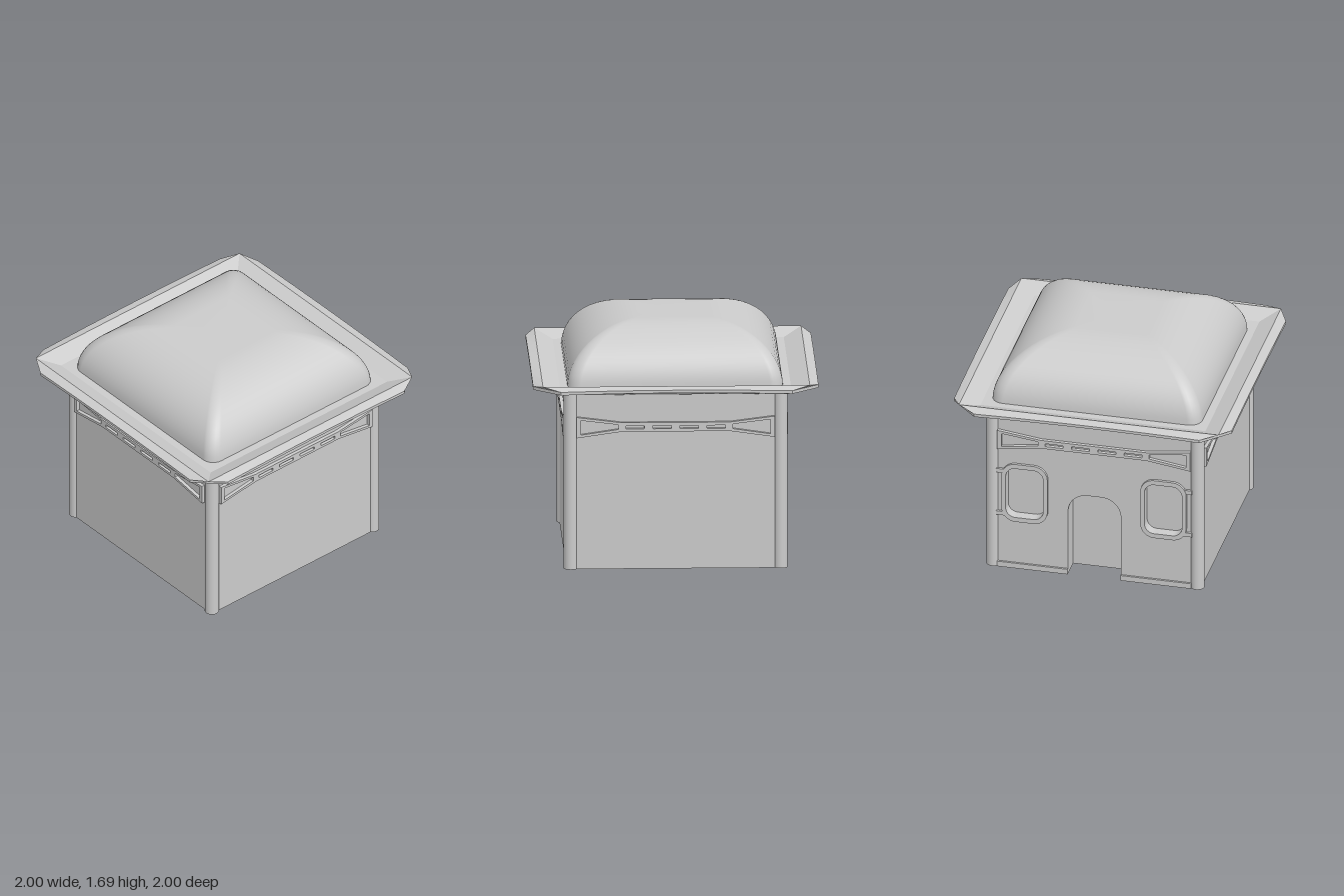
import * as THREE from 'three';
import { mergeVertices } from 'three/addons/utils/BufferGeometryUtils.js';

const smooth = new THREE.MeshStandardMaterial({ color: 0xcccccc });
const flat = new THREE.MeshStandardMaterial({ color: 0xcccccc, flatShading: true });

const WALL = 0.765; // distance of the wall faces from the centre

function add(parent, name, geometry, x = 0, y = 0, z = 0, material = flat) {
  const mesh = new THREE.Mesh(geometry, material);
  mesh.name = name;
  mesh.position.set(x, y, z);
  parent.add(mesh);
  return mesh;
}

// Skin a stack of closed loops that run counter-clockwise seen from above
function loft(rings) {
  const n = rings[0].length;
  const index = [];
  for (let r = 0; r < rings.length - 1; r++) {
    for (let j = 0; j < n; j++) {
      const k = (j + 1) % n;
      const a = r * n + j, b = r * n + k, c = b + n, d = a + n;
      index.push(a, b, c, a, c, d);
    }
  }
  const g = new THREE.BufferGeometry().setFromPoints(rings.flat());
  g.setIndex(index);
  g.computeVertexNormals();
  return g;
}

const turned = (x, y, z, side) =>
  new THREE.Vector3(x, y, z).applyAxisAngle(new THREE.Vector3(0, 1, 0), side * Math.PI / 2);

// Four-sided loop: half depth h, half edge length e, bowed up by arch at mid-edge
function eaveRing(h, y, e = h, arch = 0) {
  const pts = [];
  for (let side = 0; side < 4; side++) {
    for (let i = 0; i <= 8; i++) {
      const u = i / 4 - 1;
      pts.push(turned(u * e, y + arch * (1 - u * u), h, side));
    }
  }
  return pts;
}

// Square loop with rounded corners
function domeRing(h, y, r) {
  const pts = [];
  for (let side = 0; side < 4; side++) {
    for (let i = 0; i <= 6; i++) {
      const a = (i / 6) * Math.PI / 2;
      pts.push(turned(h - r + r * Math.sin(a), y, h - r + r * Math.cos(a), side));
    }
  }
  return pts;
}

function polygon(points, Type = THREE.Shape) {
  return new Type(points.map(([x, y]) => new THREE.Vector2(x, y)));
}

function roundedRect(cx, cy, w, h, r, Type = THREE.Shape) {
  const s = new Type();
  const x0 = cx - w / 2, x1 = cx + w / 2, y0 = cy - h / 2, y1 = cy + h / 2;
  s.moveTo(x0 + r, y0);
  s.lineTo(x1 - r, y0).absarc(x1 - r, y0 + r, r, -Math.PI / 2, 0);
  s.lineTo(x1, y1 - r).absarc(x1 - r, y1 - r, r, 0, Math.PI / 2);
  s.lineTo(x0 + r, y1).absarc(x0 + r, y1 - r, r, Math.PI / 2, Math.PI);
  s.lineTo(x0, y0 + r).absarc(x0 + r, y0 + r, r, Math.PI, Math.PI * 1.5);
  return s;
}

const extrude = (shape, depth) =>
  new THREE.ExtrudeGeometry(shape, { depth, bevelEnabled: false, curveSegments: 8 });

// Flared lattice band with end panels and four slots
function beltGeometry() {
  const belt = polygon([[-0.695, 0.945], [-0.38, 0.99], [0.38, 0.99], [0.695, 0.945],
    [0.695, 1.095], [0.38, 1.055], [-0.38, 1.055], [-0.695, 1.095]]);
  for (const s of [-1, 1]) {
    belt.holes.push(polygon([[s * 0.665, 0.968], [s * 0.4, 1.007], [s * 0.4, 1.04], [s * 0.665, 1.072]], THREE.Path));
    for (const x of [0.095, 0.285]) {
      belt.holes.push(roundedRect(s * x, 1.021, 0.13, 0.022, 0.004, THREE.Path));
    }
  }
  return extrude(belt, 0.025);
}

// Entrance wall, modelled facing +z
function entrance() {
  const g = new THREE.Group();
  g.name = 'entranceWall';
  const depth = 0.15;

  // Wall with an arched doorway and two rounded windows
  const wall = new THREE.Shape();
  wall.moveTo(-WALL, 0);
  wall.lineTo(-0.19, 0).lineTo(-0.19, 0.5);
  wall.absarc(-0.05, 0.5, 0.14, Math.PI, Math.PI / 2, true);
  wall.lineTo(0.05, 0.64).absarc(0.05, 0.5, 0.14, Math.PI / 2, 0, true);
  wall.lineTo(0.19, 0).lineTo(WALL, 0).lineTo(WALL, 1.28).lineTo(-WALL, 1.28);
  for (const s of [-1, 1]) wall.holes.push(roundedRect(s * 0.5, 0.605, 0.27, 0.39, 0.07, THREE.Path));
  add(g, 'piercedWall', extrude(wall, depth), 0, 0, WALL - depth);

  for (const s of [-1, 1]) {
    add(g, 'windowPane', new THREE.BoxGeometry(0.29, 0.41, 0.08), s * 0.5, 0.605, WALL - 0.1);
    const frame = roundedRect(s * 0.5, 0.605, 0.33, 0.46, 0.1);
    frame.holes.push(roundedRect(s * 0.5, 0.605, 0.27, 0.39, 0.07, THREE.Path));
    add(g, 'windowFrame', extrude(frame, 0.02), 0, 0, WALL);
    // Bars tying the frame to the corner column
    for (const y of [0.43, 0.77]) {
      add(g, 'windowBar', new THREE.BoxGeometry(0.06, 0.03, 0.018), s * 0.675, y, WALL + 0.009);
    }
    add(g, 'plinth', new THREE.BoxGeometry(0.51, 0.04, 0.015), s * 0.445, 0.02, WALL + 0.0075);
  }
  return g;
}

export function createModel() {
  const model = new THREE.Group();
  model.name = 'domedHouse';

  // Body, set back on the entrance side to leave room for the recesses
  const bodyDepth = 2 * WALL - 0.15;
  add(model, 'body', new THREE.BoxGeometry(bodyDepth, 1.28, 2 * WALL), 0.075, 0.64, 0);
  const front = entrance();
  front.rotation.y = -Math.PI / 2;
  model.add(front);

  // Corner columns and lattice bands
  const column = new THREE.CylinderGeometry(0.05, 0.05, 1.28, 20);
  const belt = beltGeometry();
  for (let side = 0; side < 4; side++) {
    const p = turned(0.735, 0.64, 0.735, side);
    add(model, 'cornerColumn', column, p.x, p.y, p.z, smooth);
    const q = turned(0, 0, WALL, side);
    add(model, 'latticeBand', belt, q.x, 0, q.z).rotation.y = side * Math.PI / 2;
  }

  // Eave: sloped underside, gently bowed lip, raised rim and inner gutter
  add(model, 'eave', loft([
    eaveRing(0, 1.256),
    eaveRing(0.79, 1.256),
    eaveRing(1, 1.302, 0.81, 0.012),
    eaveRing(1, 1.324, 0.81, 0.01),
    eaveRing(0.935, 1.348),
    eaveRing(0.81, 1.295),
    eaveRing(0, 1.295),
  ]));

  // Cushion dome with a flat top
  const rings = [];
  for (let i = 0; i <= 14; i++) {
    const a = (i / 14) * Math.PI / 2;
    rings.push(domeRing(0.25 + 0.505 * Math.cos(a), 1.29 + 0.4 * Math.sin(a), 0.02 + 0.07 * Math.cos(a)));
  }
  rings.push(domeRing(0, 1.69, 0));
  const dome = mergeVertices(loft(rings).deleteAttribute('normal'));
  dome.computeVertexNormals();
  add(model, 'dome', dome, 0, 0, 0, smooth);

  return model;
}
